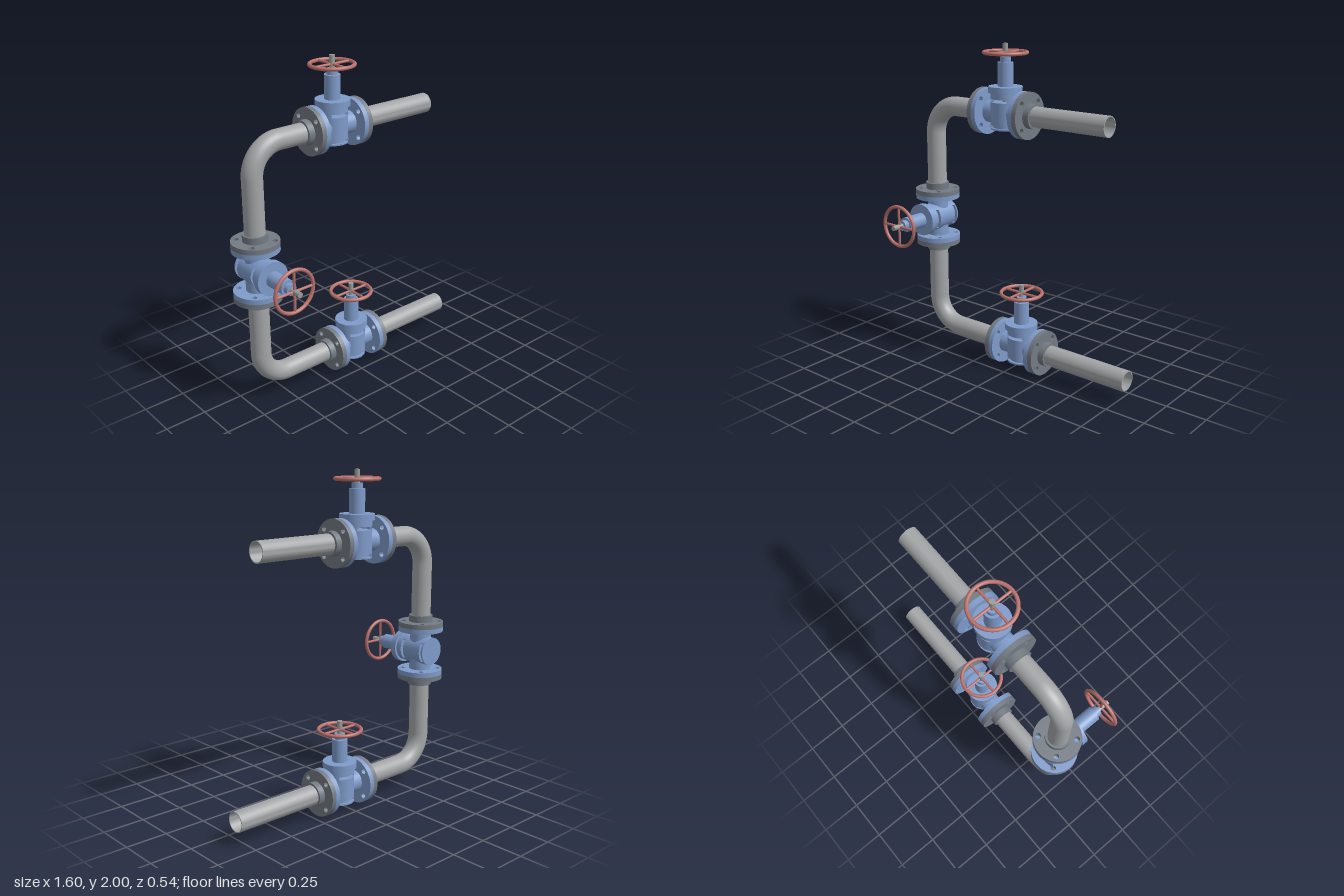
import * as THREE from 'three';
import { toCreasedNormals } from 'three/addons/utils/BufferGeometryUtils.js';

const mat = (name, color) => {
  const m = new THREE.MeshStandardMaterial({ color });
  m.name = name;
  return m;
};

const PIPE_R = 0.06, BEND = 0.18, Z = -0.137;
const LOW = 0.143, HIGH = 1.595, RISER_X = -0.66;

export function createModel() {
  const pipeGrey = mat('pipe grey', 0xa3a5a7);
  const flangeGrey = mat('flange grey', 0x747b84);
  const valveBlue = mat('valve blue', 0x7f9bca);
  const wheelRed = mat('wheel red', 0xba706a);
  const stemGrey = mat('stem grey', 0x9b9b98);

  const add = (parent, name, geo, material, x = 0, y = 0, z = 0) => {
    const m = new THREE.Mesh(geo, material);
    m.name = name;
    m.position.set(x, y, z);
    parent.add(m);
    return m;
  };
  // cylinder standing between two heights
  const post = (parent, name, r, y0, y1, material) =>
    add(parent, name, new THREE.CylinderGeometry(r, r, y1 - y0, 40), material, 0, (y0 + y1) / 2, 0);
  // cylinder lying between two x positions
  const bar = (parent, name, r, x0, x1, material) => {
    const geo = new THREE.CylinderGeometry(r, r, x1 - x0, 40).rotateZ(-Math.PI / 2);
    return add(parent, name, geo, material, (x0 + x1) / 2, 0, 0);
  };

  // flange disc with four bolt holes, extruded along x from 0
  const disc = new THREE.Shape().absarc(0, 0, 0.139, 0, Math.PI * 2);
  for (let i = 0; i < 4; i++) {
    const a = Math.PI / 4 + i * Math.PI / 2;
    disc.holes.push(new THREE.Path().absarc(Math.cos(a) * 0.11, Math.sin(a) * 0.11, 0.016, 0, Math.PI * 2, true));
  }
  const flangeGeo = toCreasedNormals(
    new THREE.ExtrudeGeometry(disc, { depth: 0.03, bevelEnabled: false, curveSegments: 28 }).rotateY(Math.PI / 2), 0.6);

  // side wall of the body beside a slot
  const half = 0.82;
  const wall = new THREE.Shape();
  wall.absarc(0, 0, 0.087, -half, half, false);
  wall.absarc(0, 0, 0.068, half, -half, true);
  wall.closePath();
  const wallGeo = toCreasedNormals(
    new THREE.ExtrudeGeometry(wall, { depth: 0.019, bevelEnabled: false, curveSegments: 16 }).rotateX(-Math.PI / 2), 0.6);

  // gate valve: flow along x, stem along y
  function makeValve(name) {
    const g = new THREE.Group();
    g.name = name;
    bar(g, 'flowTube', 0.066, -0.13, 0.13, valveBlue);
    post(g, 'body', 0.087, -0.067, 0.067, valveBlue);
    post(g, 'bodyBottom', 0.087, -0.095, -0.086, valveBlue);
    post(g, 'bodyNeck', 0.087, 0.086, 0.125, valveBlue);
    post(g, 'lowerCore', 0.07, -0.088, -0.06, valveBlue);
    for (const side of [0, 1]) {
      for (const y of [-0.086, 0.067]) {
        add(g, 'slotWall', wallGeo, valveBlue, 0, y, 0).rotation.y = side * Math.PI;
      }
    }
    for (const s of [-1, 1]) {
      add(g, 'valveFlange', flangeGeo, valveBlue, s > 0 ? 0.122 : -0.152);
      add(g, 'pipeFlange', flangeGeo, flangeGrey, s > 0 ? 0.152 : -0.182);
      bar(g, 'flangeHub', 0.073, s > 0 ? 0.18 : -0.222, s > 0 ? 0.222 : -0.18, flangeGrey);
    }
    post(g, 'bonnetFlange', 0.101, 0.121, 0.158, valveBlue);
    post(g, 'bonnet', 0.046, 0.158, 0.297, valveBlue);
    post(g, 'gland', 0.032, 0.297, 0.329, valveBlue);
    post(g, 'stem', 0.016, 0.06, 0.405, stemGrey);

    const wheel = new THREE.Group();
    wheel.name = 'handwheel';
    wheel.position.y = 0.352;
    add(wheel, 'rim', new THREE.TorusGeometry(0.126, 0.011, 14, 56).rotateX(Math.PI / 2), wheelRed);
    for (let i = 0; i < 4; i++) {
      const spoke = new THREE.CylinderGeometry(0.008, 0.008, 0.114, 12).rotateZ(Math.PI / 2);
      spoke.translate(0.069, 0, 0).rotateY(i * Math.PI / 2);
      add(wheel, 'spoke', spoke, wheelRed);
    }
    g.add(wheel);
    return g;
  }

  const model = new THREE.Group();
  model.name = 'pipework';

  const valves = [['lowerValve', 0.03, LOW], ['upperValve', -0.098, HIGH], ['riserValve', RISER_X, 0.87]];
  for (const [name, x, y] of valves) {
    const v = makeValve(name);
    v.position.set(x, y, Z);
    model.add(v);
    if (name === 'riserValve') {
      // flow upward, stem toward the front
      v.quaternion.setFromRotationMatrix(new THREE.Matrix4().makeBasis(
        new THREE.Vector3(0, 1, 0), new THREE.Vector3(0, 0, 1), new THREE.Vector3(1, 0, 0)));
    }
  }

  // hollow open-ended outlet pipes
  for (const [name, x0, x1, y] of [['lowerOutlet', 0.25, 0.8, LOW], ['upperOutlet', 0.122, 0.626, HIGH]]) {
    const L = x1 - x0;
    const profile = [[PIPE_R, 0], [PIPE_R, L], [0.054, L], [0.054, 0.004], [0, 0.004]]
      .map(([r, h]) => new THREE.Vector2(r, h));
    const geo = toCreasedNormals(new THREE.LatheGeometry(profile, 40).rotateZ(-Math.PI / 2), 0.6);
    add(model, name, geo, pipeGrey, x0, y, Z);
  }

  // pipes and quarter bends linking the valves
  const link = (name, x0, x1, y) => {
    bar(model, name, PIPE_R, x0, x1, pipeGrey).position.set((x0 + x1) / 2, y, Z);
  };
  const riser = (name, y0, y1) => {
    post(model, name, PIPE_R, y0, y1, pipeGrey).position.set(RISER_X, (y0 + y1) / 2, Z);
  };
  link('lowerPipe', RISER_X + BEND, -0.18, LOW);
  link('upperPipe', RISER_X + BEND, -0.31, HIGH);
  riser('lowerRiser', LOW + BEND, 0.66);
  riser('upperRiser', 1.08, HIGH - BEND);
  const bendGeo = new THREE.TorusGeometry(BEND, PIPE_R, 40, 24, Math.PI / 2);
  add(model, 'lowerBend', bendGeo, pipeGrey, RISER_X + BEND, LOW + BEND, Z).rotation.z = Math.PI;
  add(model, 'upperBend', bendGeo, pipeGrey, RISER_X + BEND, HIGH - BEND, Z).rotation.z = Math.PI / 2;

  return model;
}
